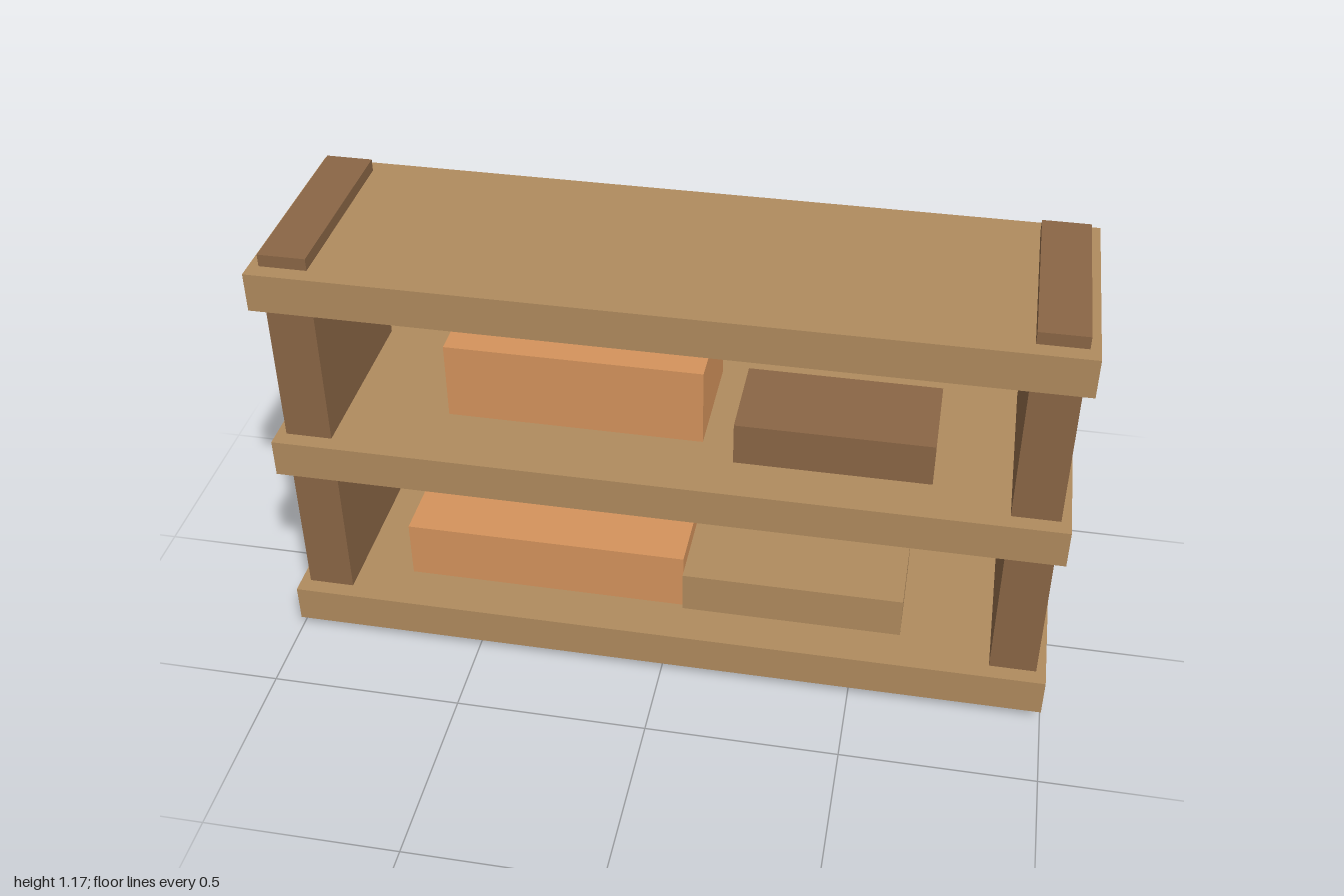
import * as THREE from 'three';

const material = (color) => new THREE.MeshStandardMaterial({ color, flatShading: true });

export function createModel() {
  const model = new THREE.Group();
  model.name = 'shelfUnit';

  const lightWood = material(0xb08b5e);
  const darkWood = material(0x8a6645);
  const orange = material(0xd4935c);

  // Box given by its extents along each axis
  function block(name, mat, [x0, x1], [y0, y1], [z0, z1]) {
    const mesh = new THREE.Mesh(new THREE.BoxGeometry(x1 - x0, y1 - y0, z1 - z0), mat);
    mesh.position.set((x0 + x1) / 2, (y0 + y1) / 2, (z0 + z1) / 2);
    mesh.name = name;
    model.add(mesh);
  }

  // Three evenly spaced boards
  ['lowerShelf', 'middleShelf', 'topShelf'].forEach((name, i) => {
    const y = 0.033 + i * 0.5;
    block(name, lightWood, [-1, 1], [y, y + 0.102], [-0.292, 0.292]);
  });

  // Upright side panels running through the boards
  block('leftUpright', darkWood, [0.855, 0.975], [0, 1.167], [-0.25, 0.25]);
  block('rightUpright', darkWood, [-0.975, -0.855], [0, 1.167], [-0.25, 0.25]);

  // Boxes on the lower shelf
  block('lowerOrangeBox', orange, [-0.71, 0.04], [0.135, 0.295], [-0.167, 0.165]);
  block('lowerTanBox', lightWood, [0.04, 0.62], [0.135, 0.25], [-0.113, 0.178]);

  // Boxes on the middle shelf; the orange one sits slightly above the board
  block('upperOrangeBox', orange, [-0.583, 0.08], [0.65, 0.858], [-0.2, 0.113]);
  block('upperDarkBox', darkWood, [0.165, 0.662], [0.635, 0.75], [-0.087, 0.163]);

  return model;
}
